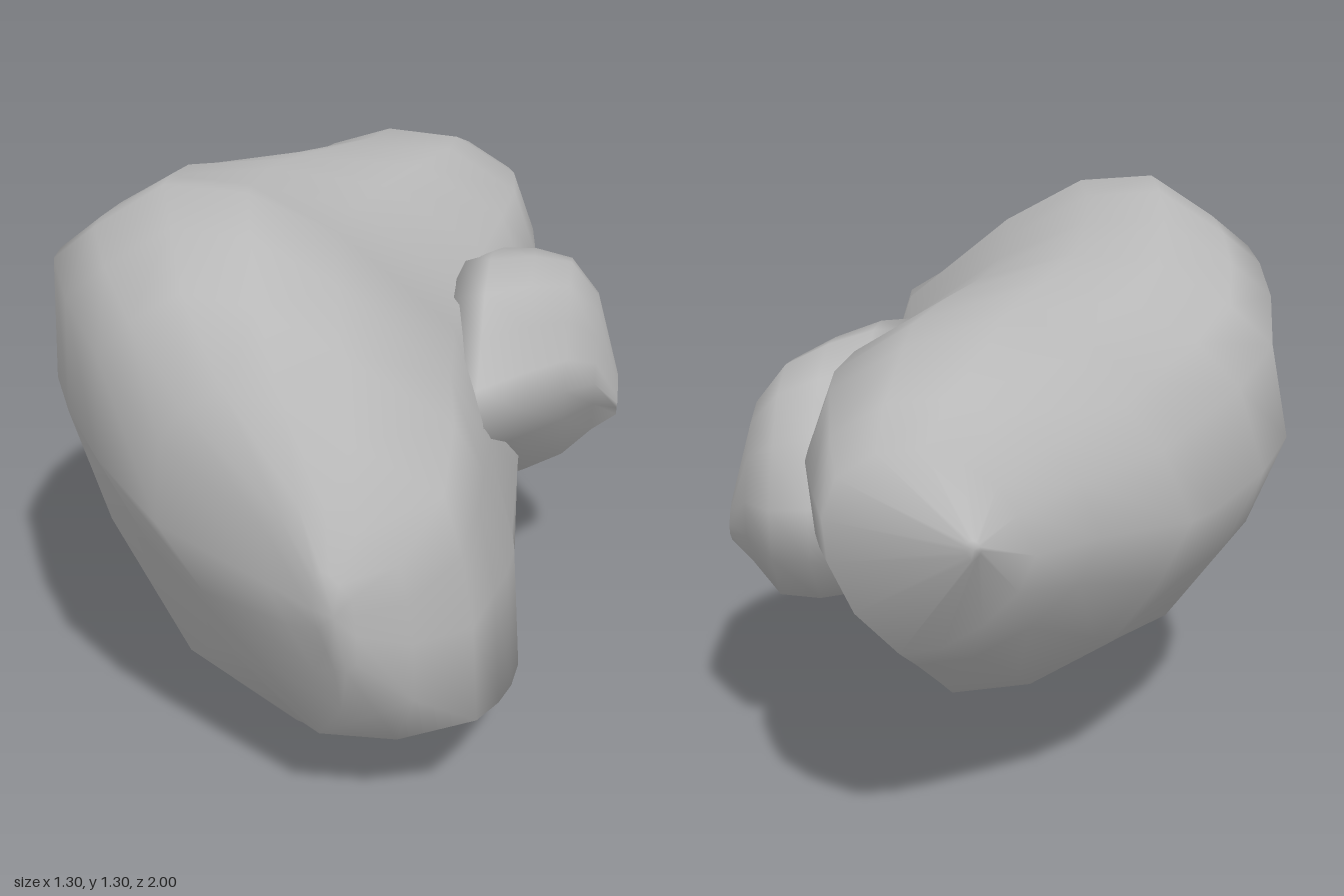
import * as THREE from 'three';

// Skins a list of closed rings (arrays of [x, y, z]) and closes both ends.
function loft(rings) {
  const n = rings[0].length, pos = rings.flat(2), idx = [];
  for (let i = 0; i < rings.length - 1; i++) {
    for (let j = 0; j < n; j++) {
      const k = (j + 1) % n;
      const a = i * n + j, b = i * n + k, c = (i + 1) * n + k, d = (i + 1) * n + j;
      idx.push(a, d, b, d, c, b);
    }
  }
  const cap = (ring, start, flip) => {
    const centre = pos.length / 3;
    for (let k = 0; k < 3; k++) pos.push(ring.reduce((s, p) => s + p[k], 0) / n);
    for (let j = 0; j < n; j++) {
      const a = start + j, b = start + (j + 1) % n;
      idx.push(centre, flip ? b : a, flip ? a : b);
    }
  };
  cap(rings[0], 0, false);
  cap(rings[rings.length - 1], (rings.length - 1) * n, true);
  const g = new THREE.BufferGeometry();
  g.setAttribute('position', new THREE.Float32BufferAttribute(pos, 3));
  g.setIndex(idx);
  g.computeVertexNormals();
  return g;
}

// Unit cross-sections of the boulder: undercut nose, slanted middle, rounder back
const noseShape = [[0, .62], [.02, .85], [.1, .94], [.22, 1], [.4, .97], [.6, .88], [.88, .75],
  [.94, .58], [.98, .38], [1, .1], [.75, .02], [.5, .02], [.32, .22], [.14, .43]];
const middleShape = [[0, .64], [.01, .86], [.1, .92], [.25, 1], [.42, .99], [.6, .91], [.84, .75],
  [.92, .56], [.98, .36], [1, .12], [.65, .01], [.5, 0], [.25, .14], [.08, .42]];
const backShape = [[0, .5], [.08, .7], [.18, .83], [.34, .94], [.52, 1], [.74, .98], [.93, .86],
  [1, .66], [.98, .45], [.86, .2], [.65, 0], [.45, .03], [.25, .15], [.08, .32]];

// Extents of each section: z, xMin, xMax, yMin, yMax
const sections = [
  [-1, .02, .05, .8, .84],
  [-.88, -.08, .34, .55, .98],
  [-.8, -.21, .37, .49, 1.06],
  [-.62, -.4, .41, .36, 1.13],
  [-.47, -.46, .43, .27, 1.15],
  [-.28, -.58, .44, .23, 1.18],
  [-.1, -.65, .44, .16, 1.21],
  [.1, -.64, .44, .08, 1.25],
  [.3, -.62, .44, 0, 1.28],
  [.42, -.6, .45, .02, 1.3],
  [.55, -.54, .44, .06, 1.25],
  [.73, -.43, .42, .17, 1.18],
  [.85, -.28, .38, .23, 1.03],
  [.94, -.04, .26, .36, .84],
  [1, .06, .15, .5, .73],
];

// Outline of the side lump as [z, y]
const lumpOutline = [[.5, .78], [.38, .83], [.28, .91], [.18, .98], [0, 1], [-.2, .96], [-.35, .86],
  [-.47, .72], [-.46, .59], [-.3, .45], [-.08, .42], [.1, .46], [.26, .62]];

// Lump rings: x, centre z, centre y, scale along z, scale along y
const lumpRings = [
  [.26, 0, .71, 1, 1],
  [.33, -.02, .71, .97, 1],
  [.43, -.1, .7, .82, .98],
  [.52, -.16, .69, .64, .9],
  [.59, -.17, .68, .43, .63],
  [.65, -.19, .59, .15, .18],
];

// Blend of the three unit outlines at point j and depth z
function outlineAt(j, z) {
  const toBack = THREE.MathUtils.smoothstep(-z, -.3, .6);
  const toNose = THREE.MathUtils.smoothstep(z, .5, .85);
  return middleShape[j].map((m, k) =>
    m + (backShape[j][k] - m) * toBack + (noseShape[j][k] - m) * toNose);
}

export function createModel() {
  const model = new THREE.Group();
  const stone = new THREE.MeshStandardMaterial({ color: 0xb8b8b8 });
  stone.name = 'greyStone';

  // Main boulder, running from back to front
  const bodyRings = sections.map(([z, x0, x1, y0, y1]) => middleShape.map((_, j) => {
    const [u, v] = outlineAt(j, z);
    return [THREE.MathUtils.lerp(x0, x1, u), THREE.MathUtils.lerp(y0, y1, v), z];
  }));
  const boulder = new THREE.Mesh(loft(bodyRings), stone);
  boulder.name = 'boulder';

  // Smaller lump bulging out of the left side
  const lump = new THREE.Mesh(loft(lumpRings.map(([x, cz, cy, sz, sy]) =>
    lumpOutline.map(([z, y]) => [x, cy + (y - .71) * sy, cz + z * sz]))), stone);
  lump.name = 'sideLump';

  model.add(boulder, lump);
  return model;
}
